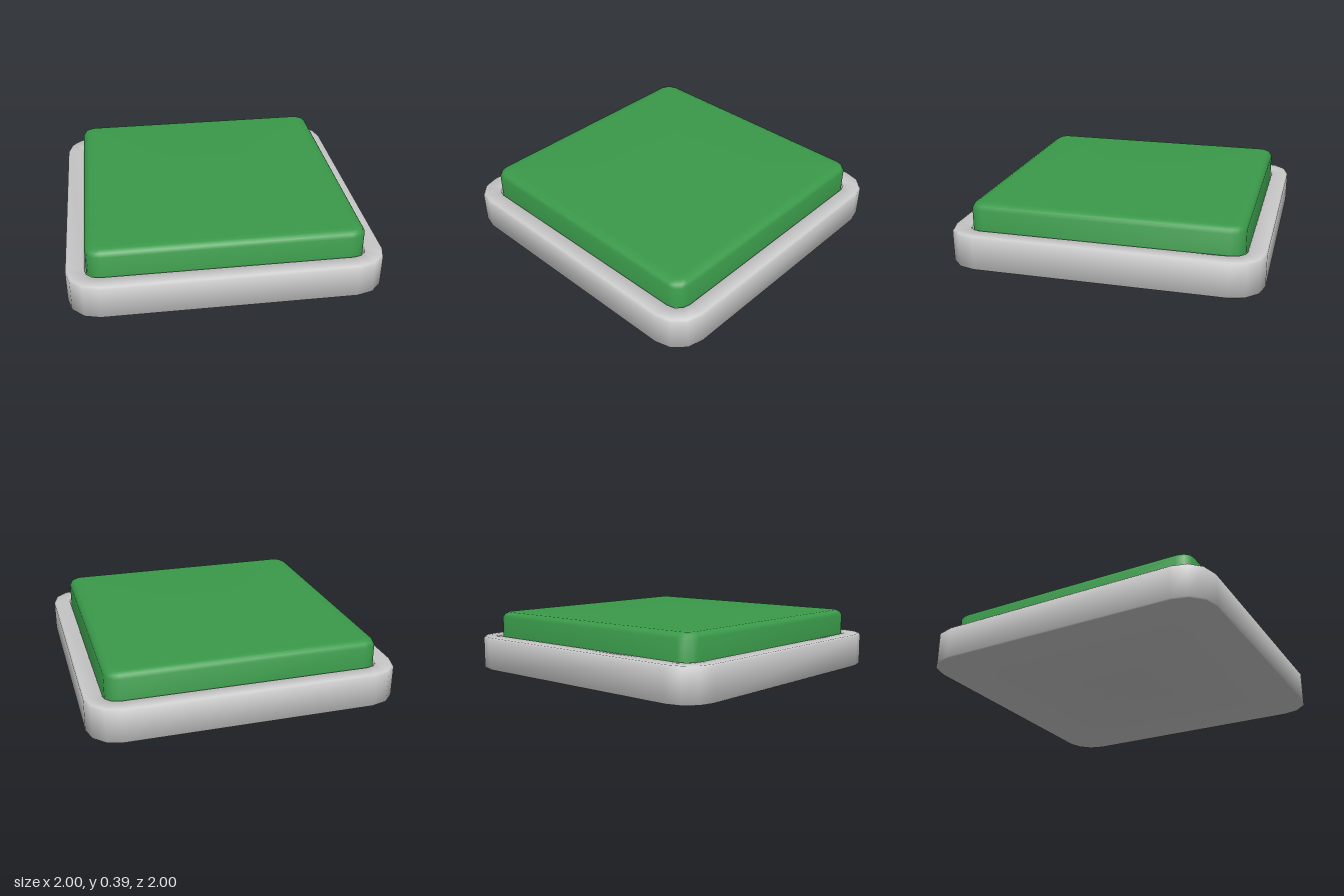
import * as THREE from 'three';
import { toCreasedNormals } from 'three/addons/utils/BufferGeometryUtils.js';

// Points of a rounded square at height y (half size h, corner radius r)
function ring(h, r, y, segments = 3) {
  const points = [];
  for (let corner = 0; corner < 4; corner++) {
    const start = corner * Math.PI / 2;
    const sx = corner === 0 || corner === 3 ? 1 : -1;
    const sz = corner < 2 ? 1 : -1;
    for (let i = 0; i <= segments; i++) {
      const a = start + (i / segments) * Math.PI / 2;
      points.push([sx * (h - r) + r * Math.cos(a), y, sz * (h - r) + r * Math.sin(a)]);
    }
  }
  return points;
}

// Skin a stack of [half, radius, y] rings, from the underside up, and cap both ends
function roundedStack(levels) {
  const rings = levels.map(([h, r, y]) => ring(h, r, y));
  const n = rings[0].length;
  const positions = rings.flat(2);
  const index = [];
  for (let k = 0; k < rings.length - 1; k++) {
    for (let i = 0; i < n; i++) {
      const a = k * n + i, b = k * n + (i + 1) % n;
      index.push(a, a + n, b, b, a + n, b + n);
    }
  }
  const first = positions.length / 3;
  positions.push(0, levels[0][2], 0, 0, levels[levels.length - 1][2], 0);
  const lastRing = (rings.length - 1) * n;
  for (let i = 0; i < n; i++) {
    const j = (i + 1) % n;
    index.push(first, i, j, first + 1, lastRing + j, lastRing + i);
  }
  const geometry = new THREE.BufferGeometry();
  geometry.setAttribute('position', new THREE.Float32BufferAttribute(positions, 3));
  geometry.setIndex(index);
  return toCreasedNormals(geometry, 0.9);
}

export function createModel() {
  const group = new THREE.Group();
  group.name = 'floorButton';

  // Tray: outer wall, softened rim, then down into the recess
  const base = new THREE.Mesh(
    roundedStack([
      [0.993, 0.193, 0],
      [1, 0.2, 0.007],
      [1, 0.2, 0.21],
      [0.99, 0.19, 0.222],
      [0.89, 0.1, 0.222],
      [0.882, 0.092, 0.214],
      [0.882, 0.092, 0.1],
    ]),
    new THREE.MeshStandardMaterial({ color: 0xcccccc })
  );
  base.name = 'base';

  // Pressable plate with a rounded upper edge
  const plate = new THREE.Mesh(
    roundedStack([
      [0.873, 0.09, 0.09],
      [0.873, 0.09, 0.352],
      [0.86, 0.077, 0.374],
      [0.832, 0.05, 0.387],
      [0.8, 0.03, 0.388],
    ]),
    new THREE.MeshStandardMaterial({ color: 0x3a9a4a })
  );
  plate.name = 'buttonPlate';

  group.add(base, plate);
  return group;
}
